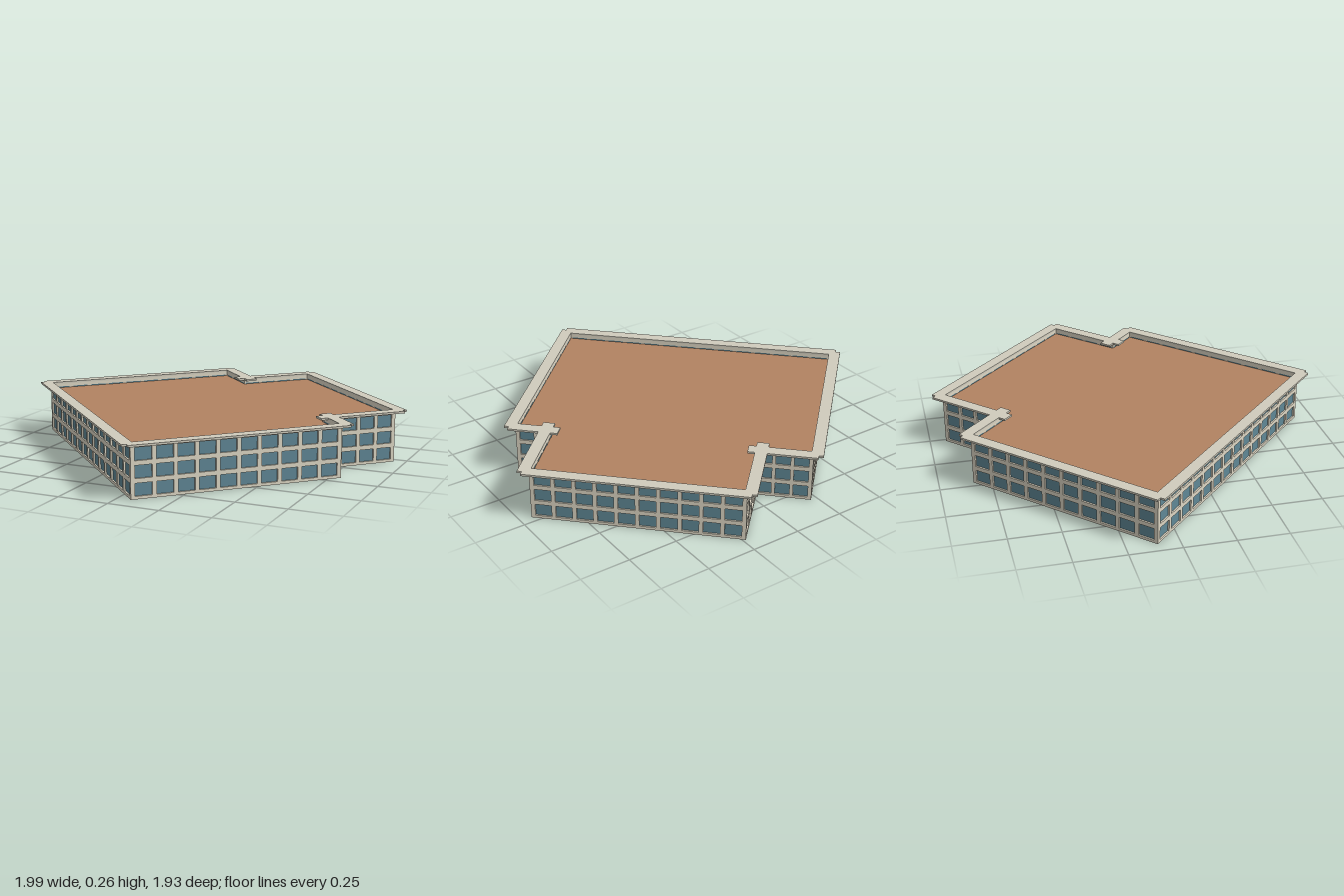
import * as THREE from 'three';

const WALL_H = 0.255, ROOF_Y = 0.231;
const FRAME = 0.01;                 // depth of the facade grid
const EAVE_W = 0.058, EAVE_END = 0.035, EAVE_T = 0.01;

const paint = (color) => new THREE.MeshStandardMaterial({ color, side: THREE.DoubleSide });

// Footprint corner from diagonal coordinates p = x + z, q = z - x
const corner = (p, q, concave = false) => ({ x: (p - q) / 2, z: (p + q) / 2, concave });

// Footprint, counterclockwise from above, with the window columns of the wall that follows
const footprint = [
  [corner(-1.037, 0.828), 14],
  [corner(0.965, 0.828), 10],
  [corner(0.965, -0.605), 2],
  [corner(0.715, -0.605, true), 4],
  [corner(0.715, -1.142), 10],
  [corner(-0.67, -1.142), 4],
  [corner(-0.67, -0.605, true), 3],
  [corner(-1.037, -0.605), 10],
];

function rectangle(path, x0, y0, x1, y1) {
  path.moveTo(x0, y0);
  path.lineTo(x1, y0);
  path.lineTo(x1, y1);
  path.lineTo(x0, y1);
  path.closePath();
  return path;
}

// Facade grid: one extruded panel with three storeys of window openings
function facadeGeometry(length, columns, padStart, padEnd) {
  const shape = rectangle(new THREE.Shape(), -padStart, 0, length + padEnd, WALL_H);
  const pitch = length / columns, half = pitch * 0.4;
  for (let row = 0; row < 3; row++) {
    const y = 0.014 + row * 0.0815;
    for (let i = 0; i < columns; i++) {
      const x = (i + 0.5) * pitch;
      shape.holes.push(rectangle(new THREE.Path(), x - half, y, x + half, y + 0.06));
    }
  }
  return new THREE.ExtrudeGeometry(shape, { depth: FRAME, bevelEnabled: false });
}

export function createModel() {
  const model = new THREE.Group();
  model.name = 'building';
  const cream = paint(0xddd6c4), glass = paint(0x5f8795);
  const stone = paint(0xd0ccbd), clay = paint(0xb28362);

  const add = (parent, name, geometry, material) => {
    const mesh = new THREE.Mesh(geometry, material);
    mesh.name = name;
    parent.add(mesh);
    return mesh;
  };

  // One wall per side: local x runs along it, local z points outward
  footprint.forEach(([a, columns], i) => {
    const b = footprint[(i + 1) % footprint.length][0];
    const dx = b.x - a.x, dz = b.z - a.z, length = Math.hypot(dx, dz);
    const wall = new THREE.Group();
    wall.name = 'wall' + (i + 1);
    wall.position.set(a.x, 0, a.z);
    wall.rotation.y = Math.atan2(-dz, dx);
    model.add(wall);

    const pad = (c) => (c.concave ? 0 : FRAME);
    add(wall, 'facadeGrid', facadeGeometry(length, columns, pad(a), pad(b)), cream);
    add(wall, 'windowGlass', new THREE.PlaneGeometry(length, WALL_H - 0.01), glass)
      .position.set(length / 2, WALL_H / 2, 0.002);

    // Eave strip overhanging the wall and running past both ends
    add(wall, 'eave', new THREE.BoxGeometry(length + 2 * EAVE_END, EAVE_T, EAVE_W), stone)
      .position.set(length / 2, WALL_H + EAVE_T / 2 - 0.003, EAVE_W / 2);
  });

  // Flat roof set slightly below the eaves; the underside stays open
  const outline = new THREE.Shape(footprint.map(([c]) => new THREE.Vector2(c.x, -c.z)));
  const roof = add(model, 'roofDeck', new THREE.ShapeGeometry(outline), clay);
  roof.rotation.x = -Math.PI / 2;
  roof.position.y = ROOF_Y;

  return model;
}
